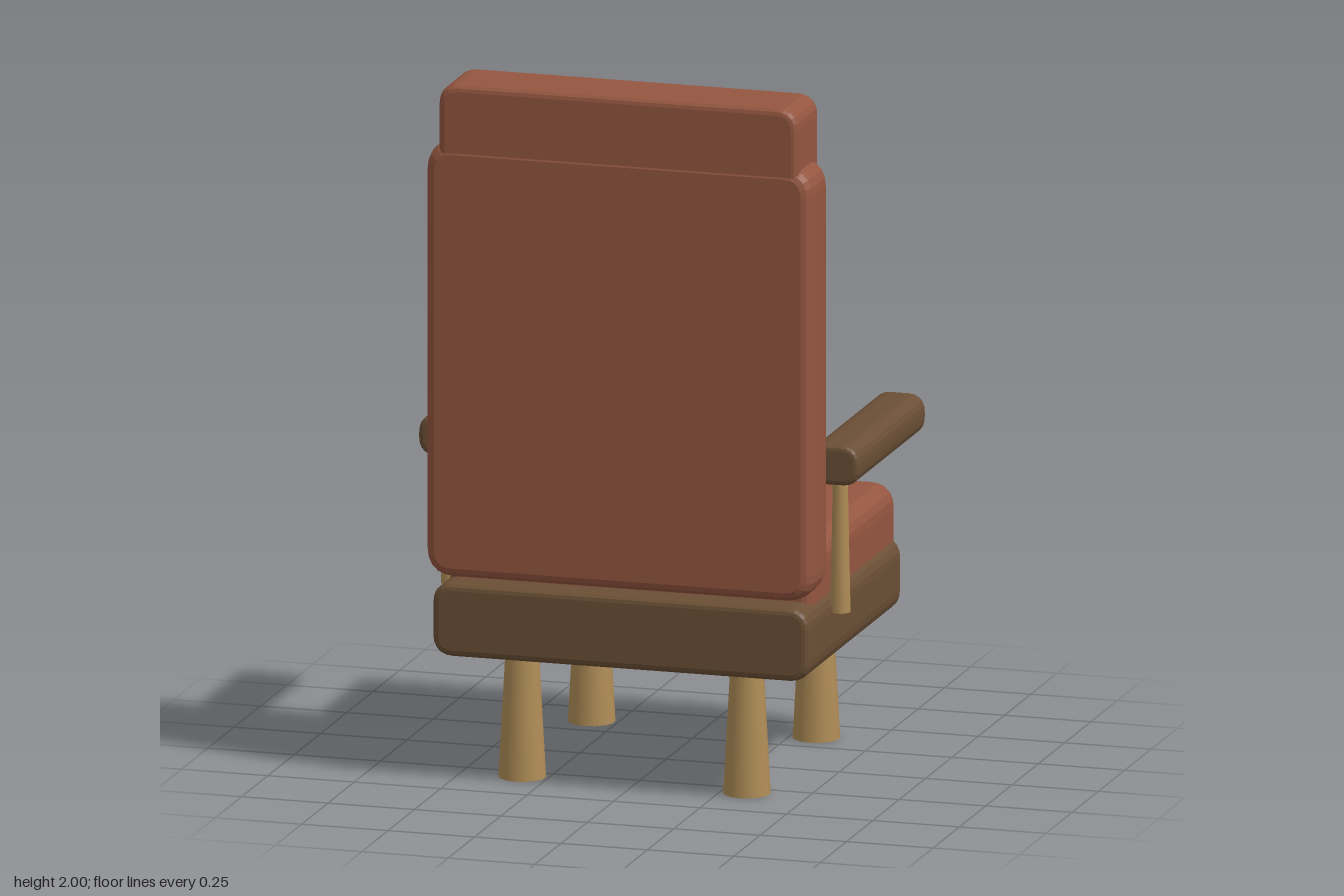
import * as THREE from 'three';

const material = (color) => new THREE.MeshStandardMaterial({ color });
const leather = material(0x945640);
const darkLeather = material(0x5c372d);
const darkWood = material(0x6b4f35);
const paleWood = material(0xb08d57);

// Rounded slab extruded along z, sized by its outer extents, with bevelled ends
function slab(name, mat, [x0, x1], [y0, y1], [z0, z1], radius, bevel, depthBevel = bevel) {
  const w = (x1 - x0) / 2 - bevel, h = (y1 - y0) / 2 - bevel;
  const r = Math.max(radius - bevel, 0.005);
  const s = new THREE.Shape();
  s.moveTo(-w + r, -h);
  s.lineTo(w - r, -h);
  s.quadraticCurveTo(w, -h, w, -h + r);
  s.lineTo(w, h - r);
  s.quadraticCurveTo(w, h, w - r, h);
  s.lineTo(-w + r, h);
  s.quadraticCurveTo(-w, h, -w, h - r);
  s.lineTo(-w, -h + r);
  s.quadraticCurveTo(-w, -h, -w + r, -h);
  const geometry = new THREE.ExtrudeGeometry(s, {
    depth: z1 - z0 - 2 * depthBevel,
    bevelEnabled: true,
    bevelSize: bevel,
    bevelThickness: depthBevel,
    bevelSegments: 3,
    curveSegments: 5,
  });
  geometry.translate((x0 + x1) / 2, (y0 + y1) / 2, z0 + depthBevel);
  const mesh = new THREE.Mesh(geometry, mat);
  mesh.name = name;
  return mesh;
}

// Upright tapered round part between two heights
function post(name, mat, x, z, y0, y1, rBottom, rTop, sides) {
  const mesh = new THREE.Mesh(new THREE.CylinderGeometry(rTop, rBottom, y1 - y0, sides), mat);
  mesh.position.set(x, (y0 + y1) / 2, z);
  mesh.name = name;
  return mesh;
}

export function createModel() {
  const chair = new THREE.Group();
  chair.name = 'armchair';

  // Seat: wooden base with a cushion over its open edge
  chair.add(
    slab('seatBase', darkWood, [-0.545, 0.545], [0.36, 0.57], [-0.45, 0.44], 0.06, 0.02),
    slab('seatCushion', leather, [-0.525, 0.525], [0.485, 0.72], [-0.465, 0.355], 0.07, 0.025, 0.035),
  );

  // Back: main cushion, headrest and inset panel
  chair.add(
    slab('backCushion', leather, [-0.56, 0.56], [0.59, 1.83], [0.285, 0.465], 0.08, 0.03, 0.05),
    slab('headrest', leather, [-0.52, 0.52], [1.74, 2.0], [0.255, 0.463], 0.06, 0.02),
    slab('backPanel', darkLeather, [-0.46, 0.46], [0.82, 1.68], [0.24, 0.30], 0.06, 0.015),
  );

  for (const side of [-1, 1]) {
    // Vertical seams on the panel
    chair.add(post('panelSeam', darkLeather, side * 0.17, 0.239, 0.9, 1.6, 0.007, 0.007, 8));

    // Armrest and its support
    const xs = [side * 0.49, side * 0.637].sort((a, b) => a - b);
    chair.add(
      slab('armrest', darkWood, xs, [0.885, 1.0], [-0.378, 0.268], 0.05, 0.015),
      post('armPost', paleWood, side * 0.563, 0.195, 0.51, 0.9, 0.029, 0.021, 12),
    );

    // Tapered legs
    for (const z of [0.3, -0.36]) {
      chair.add(post('leg', paleWood, side * 0.325, z, 0, 0.37, 0.066, 0.046, 14));
    }
  }
  return chair;
}
